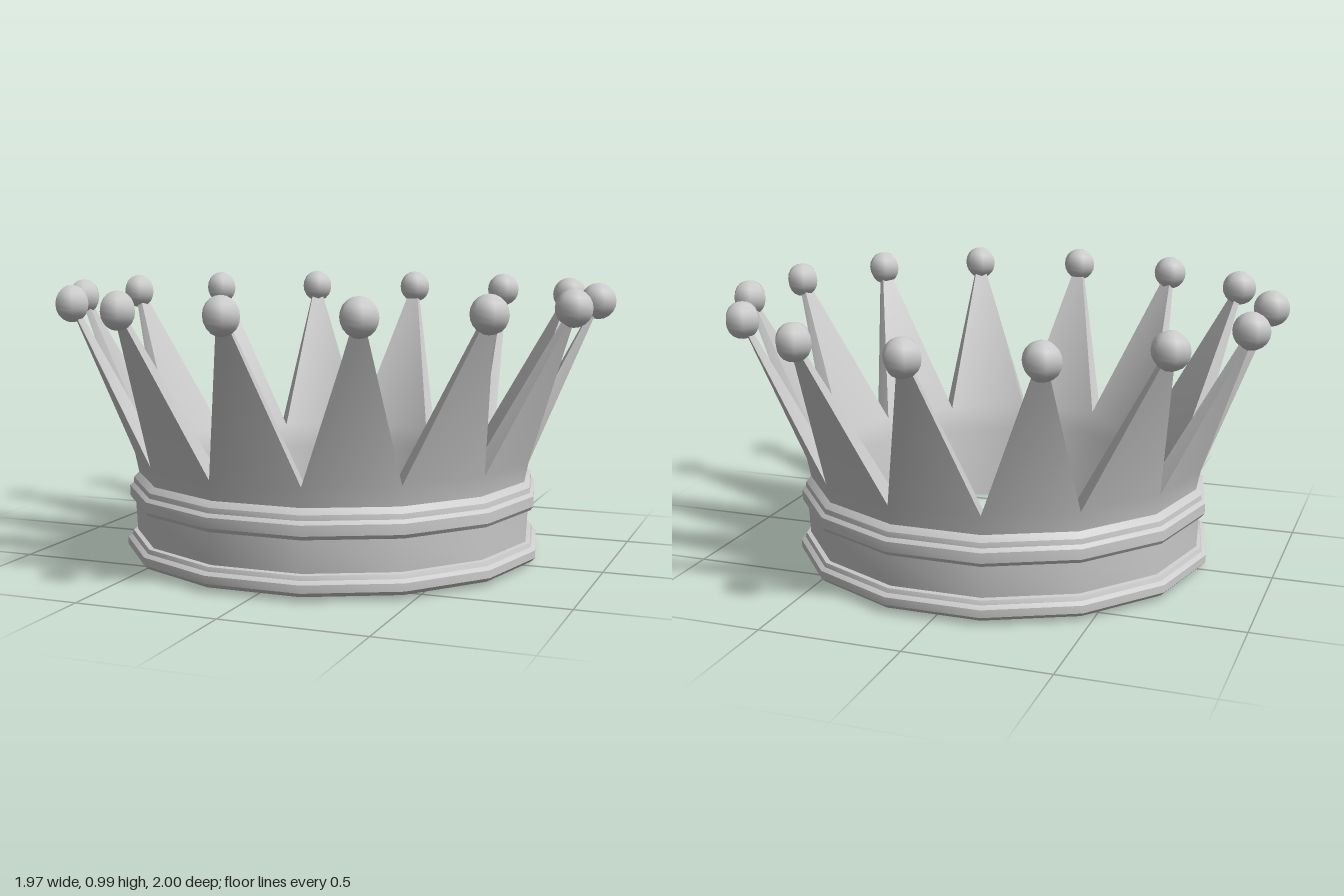
import * as THREE from 'three';
import { mergeGeometries, toCreasedNormals } from 'three/addons/utils/BufferGeometryUtils.js';

const COUNT = 14;
const STEP = (Math.PI * 2) / COUNT;
const VALLEY_Y = 0.37;
const TIP_Y = 0.92;

// Point at a radius, height and angle (angle 0 faces +z), with a sideways shift
function ringPoint(radius, y, angle, shift = 0) {
  return [
    radius * Math.sin(angle) + shift * Math.cos(angle),
    y,
    radius * Math.cos(angle) - shift * Math.sin(angle),
  ];
}

// One tapered spike spanning a full side of the band, leaning outward
function spikeGeometry(angle) {
  const corners = (valleyRadius, tipRadius) => [
    ringPoint(valleyRadius, VALLEY_Y, angle - STEP / 2),
    ringPoint(valleyRadius, VALLEY_Y, angle + STEP / 2),
    ringPoint(tipRadius, TIP_Y, angle, 0.014),
    ringPoint(tipRadius, TIP_Y, angle, -0.014),
  ];
  const o = corners(0.73, 0.95);
  const i = corners(0.667, 0.93);
  const quads = [
    [o[0], o[1], o[2], o[3]], // outer face
    [i[1], i[0], i[3], i[2]], // inner face
    [o[1], i[1], i[2], o[2]], // one flank
    [i[0], o[0], o[3], i[3]], // other flank
    [o[3], o[2], i[2], i[3]], // tip
  ];
  const positions = quads.flatMap(([a, b, c, d]) => [a, b, c, a, c, d].flat());
  const geometry = new THREE.BufferGeometry();
  geometry.setAttribute('position', new THREE.Float32BufferAttribute(positions, 3));
  return geometry;
}

// Fourteen-sided band: down the inside, under the base, up over both rims
function bandGeometry() {
  const profile = [
    [0.667, VALLEY_Y], [0.65, 0.28], [0.64, 0],
    [0.705, 0.005], [0.745, 0.015], [0.76, 0.03],
    [0.76, 0.057], [0.745, 0.068], [0.74, 0.083], [0.724, 0.086],
    [0.73, 0.2], [0.74, 0.2], [0.75, 0.214],
    [0.75, 0.25], [0.737, 0.262], [0.735, 0.28], [0.716, 0.3],
    [0.73, VALLEY_Y],
  ].map(([r, y]) => new THREE.Vector2(r, y));
  const geometry = new THREE.LatheGeometry(profile, COUNT, STEP / 2).toNonIndexed();
  geometry.deleteAttribute('normal');
  geometry.deleteAttribute('uv');
  return geometry;
}

export function createModel() {
  const crown = new THREE.Group();
  crown.name = 'crown';
  const material = new THREE.MeshStandardMaterial({ color: 0xcccccc });

  // Band and spikes share one surface so the shading flows between them
  const parts = [bandGeometry()];
  for (let k = 0; k < COUNT; k++) parts.push(spikeGeometry(k * STEP));
  const body = new THREE.Mesh(toCreasedNormals(mergeGeometries(parts), 0.6), material);
  body.name = 'bandAndSpikes';
  crown.add(body);

  // A six-sided ball on every spike tip
  const balls = new THREE.Group();
  balls.name = 'tipBalls';
  const ballGeometry = new THREE.SphereGeometry(0.064, 6, 10);
  for (let k = 0; k < COUNT; k++) {
    const ball = new THREE.Mesh(ballGeometry, material);
    ball.name = 'tipBall';
    ball.position.set(...ringPoint(0.944, 0.927, k * STEP));
    balls.add(ball);
  }
  crown.add(balls);

  return crown;
}
